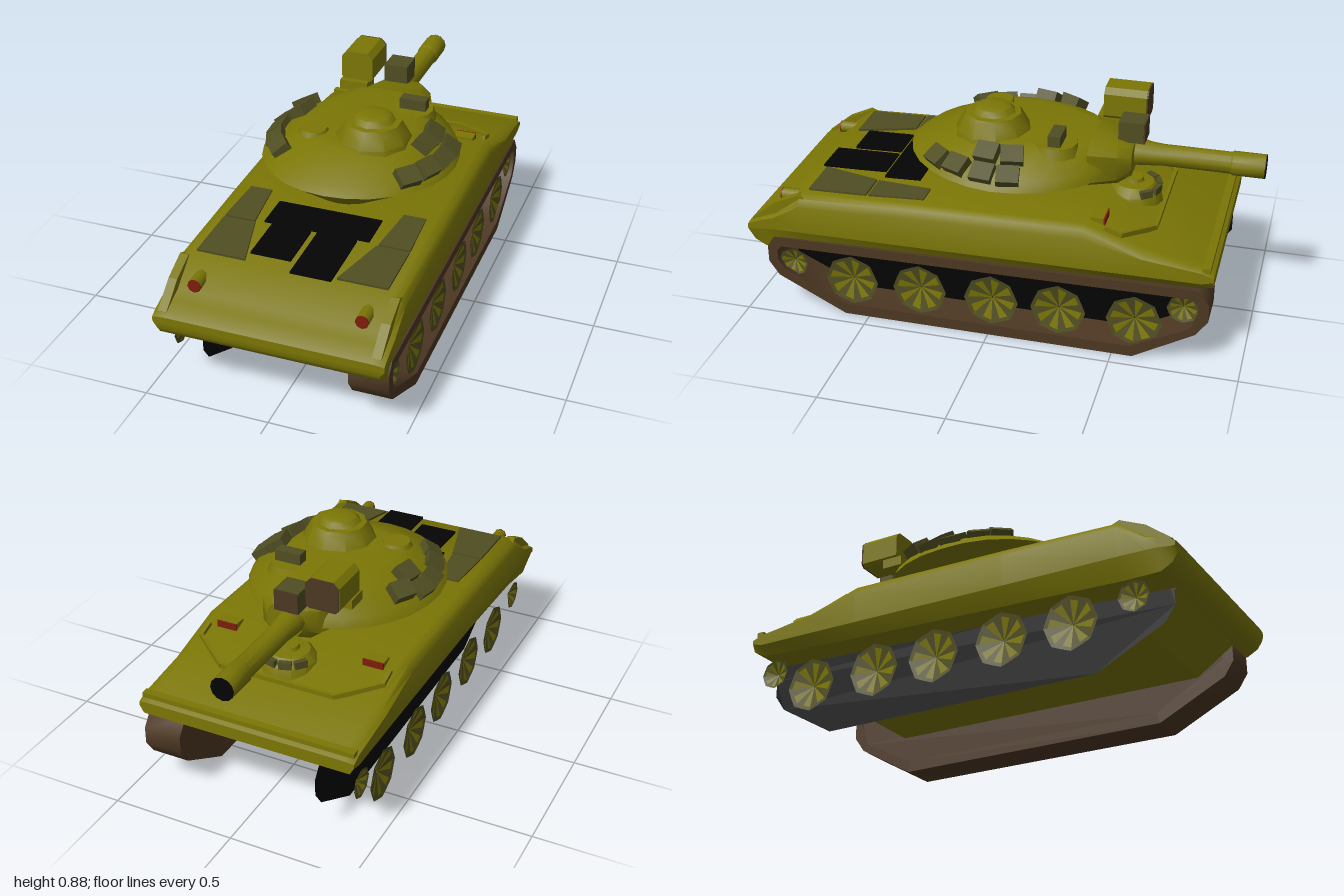
import * as THREE from 'three';
import { toCreasedNormals } from 'three/addons/utils/BufferGeometryUtils.js';

const mat = (name, color) => {
  const m = new THREE.MeshStandardMaterial({ color, side: THREE.DoubleSide });
  m.name = name;
  return m;
};

export function createModel() {
  const olive = mat('olive', 0x7b7605);
  const drab = mat('drab', 0x504e22);
  const brown = mat('trackBrown', 0x4d3823);
  const black = mat('black', 0x040404);
  const red = mat('lampRed', 0x7d1e0c);

  const model = new THREE.Group();
  const add = (name, geo, material, x = 0, y = 0, z = 0, parent = model) => {
    const m = new THREE.Mesh(geo, material);
    m.name = name;
    m.position.set(x, y, z);
    parent.add(m);
    return m;
  };
  const box = (name, w, h, d, material, x, y, z, parent) =>
    add(name, new THREE.BoxGeometry(w, h, d), material, x, y, z, parent);
  const lathe = (pts, sides) =>
    toCreasedNormals(new THREE.LatheGeometry(pts.map(([r, y]) => new THREE.Vector2(r, y)), sides), 0.65);

  // Skin between closed loops of points, with both ends capped
  const loft = (rings, crease) => {
    const pos = [], n = rings[0].length, last = rings.length - 1;
    const tri = (...p) => p.forEach((v) => pos.push(...v));
    for (let i = 0; i < last; i++) {
      for (let j = 0; j < n; j++) {
        const k = (j + 1) % n;
        tri(rings[i][j], rings[i][k], rings[i + 1][k]);
        tri(rings[i][j], rings[i + 1][k], rings[i + 1][j]);
      }
    }
    for (let j = 1; j < n - 1; j++) {
      tri(rings[0][0], rings[0][j + 1], rings[0][j]);
      tri(rings[last][0], rings[last][j], rings[last][j + 1]);
    }
    const g = new THREE.BufferGeometry();
    g.setAttribute('position', new THREE.Float32BufferAttribute(pos, 3));
    return toCreasedNormals(g, crease);
  };

  // Side outline [z, y] extruded from x0 to x1
  const outline = (pts) => pts.map(([z, y]) => new THREE.Vector2(-z, y));
  const sideExtrude = (pts, x0, x1, hole) => {
    const s = new THREE.Shape(outline(pts));
    if (hole) s.holes.push(new THREE.Path(outline(hole)));
    return new THREE.ExtrudeGeometry(s, { depth: x1 - x0, bevelEnabled: false })
      .rotateY(Math.PI / 2).translate(x0, 0, 0);
  };
  const sideSheet = (pts, x) =>
    new THREE.ShapeGeometry(new THREE.Shape(outline(pts))).rotateY(Math.PI / 2).translate(x, 0, 0);

  // Upper hull and its tucked-in sponson: z, top, side crease, bottom, bottom half width
  const stations = [
    [-0.875, 0.405, 0.385, 0.355, 0.43], [-0.83, 0.432, 0.372, 0.335, 0.415], [-0.6, 0.468, 0.37, 0.325, 0.41],
    [-0.37, 0.54, 0.367, 0.315, 0.41], [0.3, 0.528, 0.36, 0.292, 0.41], [0.77, 0.512, 0.356, 0.272, 0.415],
    [0.88, 0.425, 0.354, 0.267, 0.425], [0.93, 0.405, 0.352, 0.265, 0.43],
    [0.975, 0.385, 0.345, 0.29, 0.43], [0.995, 0.37, 0.345, 0.32, 0.43],
  ];
  const mirrored = (half, z) =>
    [...half, ...half.slice().reverse().map(([x, y]) => [-x, y])].map(([x, y]) => [x, y, z]);
  add('upperHull', loft(stations.map(([z, t, c]) => {
    const h = t - c;
    return mirrored([[0.447, c], [0.447, t - 0.25 * h], [0.43, t - 0.08 * h], [0.4, t]], z);
  }), 0.75), olive);
  add('sponson', loft(stations.map(([z, , c, b, w]) => mirrored([[w, b], [0.447, c]], z)), 0.75), olive);
  add('lowerHull', sideExtrude([[0.93, 0.268], [0.77, 0.158], [-0.6, 0.158], [-0.85, 0.36], [0.8, 0.36]],
    -0.285, 0.285), olive);

  // Front lip and splash rail on the sloping bow
  const bowY = (z) => (z > -0.6 ? 0.54 + 0.313 * (z + 0.37) : 0.468 + 0.156 * (z + 0.6));
  box('bowLip', 0.88, 0.02, 0.03, olive, 0, 0.425, -0.845);
  const rail = [[-0.39, -0.45], [-0.39, -0.51], [-0.24, -0.62], [0.24, -0.62], [0.39, -0.51], [0.39, -0.45]]
    .map(([x, z]) => new THREE.Vector3(x, bowY(z) + 0.006, z));
  for (let i = 0; i < rail.length - 1; i++) {
    const m = box('splashRail', 0.014, 0.022, rail[i].distanceTo(rail[i + 1]) + 0.01, olive);
    m.position.lerpVectors(rail[i], rail[i + 1], 0.5);
    m.lookAt(rail[i + 1]);
  }

  // Driver's hatch with periscopes
  add('driverHatch', lathe([[0.12, 0.46], [0.11, 0.51], [0.08, 0.542], [0.04, 0.546], [0.035, 0.56], [0, 0.56]], 12),
    olive, 0.01, 0, -0.49);
  for (const a of [-0.9, -0.3, 0.3, 0.9]) {
    const p = box('driverPeriscope', 0.05, 0.03, 0.02, drab, 0.01 + 0.1 * Math.sin(a), 0.526, -0.49 - 0.1 * Math.cos(a));
    p.rotation.y = -a;
  }

  // Deck plates lying on the slightly sloping engine deck
  const deckPlate = (name, pts, material) => {
    const g = new THREE.ExtrudeGeometry(new THREE.Shape(pts.map(([x, z]) => new THREE.Vector2(x, -z))),
      { depth: 0.009, bevelEnabled: false }).rotateX(-Math.PI / 2 + 0.024);
    add(name, g, material, 0, 0.532, 0);
  };
  const rect = (x0, x1, z0, z1) => [[x0, z0], [x0, z1], [x1, z1], [x1, z0]];
  deckPlate('frontGrille', rect(-0.215, 0.21, 0.34, 0.49), black);
  deckPlate('rightGrille', rect(-0.18, -0.02, 0.5, 0.7), black);
  deckPlate('leftGrille', rect(0.005, 0.165, 0.5, 0.77), black);
  for (const s of [-1, 1]) {
    deckPlate('sidePanel', [[0.365, 0.275], [0.275, 0.275], [0.25, 0.5], [0.375, 0.5]].map(([x, z]) => [s * x, z]), drab);
    deckPlate('sidePanel', [[0.375, 0.51], [0.245, 0.51], [0.18, 0.75], [0.375, 0.75]].map(([x, z]) => [s * x, z]), drab);

    // Rear fender ribs, tail lamps and front lamps
    const x0 = s > 0 ? 0.395 : -0.43;
    add('fenderRib', sideExtrude([[0.75, 0.5], [0.78, 0.512], [0.88, 0.466], [0.98, 0.385], [0.95, 0.36]], x0, x0 + 0.035), olive);
    const lamp = add('tailLampHousing', new THREE.CylinderGeometry(0.027, 0.027, 0.08, 8), olive, s * 0.325, 0.455, 0.842);
    lamp.rotation.x = Math.PI / 2;
    const lens = add('tailLamp', new THREE.CylinderGeometry(0.0265, 0.0265, 0.006, 8), red, s * 0.325, 0.455, 0.885);
    lens.rotation.x = Math.PI / 2;
    box('headLampBox', 0.085, 0.036, 0.05, olive, s * 0.315, 0.527, -0.412);
    box('headLamp', 0.085, 0.036, 0.006, red, s * 0.315, 0.527, -0.44);
  }

  // Running gear: tread loop on the left, backing sheets and wheels on both sides
  const tread = [[0.89, 0.315], [0.92, 0.27], [0.92, 0.2], [0.88, 0.14], [0.6, 0], [-0.58, 0],
    [-0.82, 0.14], [-0.865, 0.205], [-0.865, 0.275], [-0.82, 0.335]];
  const inner = [[0.86, 0.275], [0.88, 0.255], [0.88, 0.215], [0.855, 0.17], [0.59, 0.045], [-0.57, 0.045],
    [-0.8, 0.165], [-0.825, 0.215], [-0.825, 0.265], [-0.8, 0.295]];
  add('track', toCreasedNormals(sideExtrude(tread, 0.285, 0.44, inner), 0.95), brown);
  add('trackInnerWall', sideSheet(inner, 0.286), brown);
  add('wheelWell', sideSheet(inner, 0.292), black);
  add('wheelWell', sideSheet(tread, -0.287), black);

  // Dished eight-sided wheels: alternating wedges inside a plain rim
  const wheel = (s, z, y, r) => {
    const g = new THREE.RingGeometry(0.002, r, 16, 2).toNonIndexed();
    const p = g.attributes.position;
    g.clearGroups();
    for (let i = 0; i < 16; i++) g.addGroup(i * 6, 6, i % 2);
    g.addGroup(96, 96, 0);
    for (let i = 0; i < p.count; i++) {
      const a = Math.atan2(p.getY(i), p.getX(i)), d = Math.hypot(p.getX(i), p.getY(i)) / r;
      const flat = Math.round(a / (Math.PI / 8)) % 2 ? 0.935 : 1;
      const reach = d > 0.9 ? 1 : d > 0.3 ? 0.86 : d;
      p.setXYZ(i, Math.cos(a) * r * reach * flat, Math.sin(a) * r * reach * flat, 0.025 * (reach - 1));
    }
    g.computeVertexNormals();
    add('roadWheel', g, [drab, olive], s * 0.425, y, z).rotation.y = s * Math.PI / 2;
  };
  for (const s of [-1, 1]) {
    for (const z of [0.57, 0.285, -0.01, -0.28, -0.58]) wheel(s, z, 0.153, 0.11);
    wheel(s, 0.82, 0.2, 0.062);
    wheel(s, -0.765, 0.238, 0.062);
  }

  // Turret: level, half width, rear reach, front reach, lift of the rear rim
  const levels = [[0.525, 0.19, 0.27, 0.29, 0], [0.62, 0.395, 0.42, 0.44, 0.022],
    [0.658, 0.37, 0.385, 0.43, 0.01], [0.738, 0.235, 0.22, 0.37, 0], [0.745, 0.2, 0.18, 0.3, 0]];
  add('turret', loft(levels.map(([y, w, rear, front, lift]) =>
    Array.from({ length: 28 }, (_, i) => {
      const a = i / 28 * Math.PI * 2, c = Math.cos(a);
      return [w * Math.sin(a), y + lift * Math.max(0, c), c * (c > 0 ? rear : front)];
    })), 0.65), olive);

  // Cupola and hatch
  add('cupola', lathe([[0.155, 0.72], [0.15, 0.745], [0.12, 0.797], [0.112, 0.81], [0.088, 0.812],
    [0.07, 0.833], [0.045, 0.84], [0, 0.84]], 10), olive, 0.077, 0, 0.07);
  add('loaderHatch', new THREE.CylinderGeometry(0.055, 0.065, 0.02, 10), olive, -0.16, 0.746, 0.11);

  // Gunner's sight with its raised base
  add('sightBase', new THREE.CylinderGeometry(0.085, 0.1, 0.04, 12), olive, 0.15, 0.725, -0.2);
  box('sight', 0.11, 0.055, 0.05, drab, 0.155, 0.762, -0.205);

  // Mantlet and gun
  add('mantlet', loft([[-0.49, 0.075, 0.6, 0.715], [-0.44, 0.12, 0.575, 0.73], [-0.33, 0.16, 0.565, 0.745]]
    .map(([z, w, b, t]) => [[w, b + 0.03], [w, t - 0.03], [w * 0.7, t], [-w * 0.7, t], [-w, t - 0.03], [-w, b + 0.03], [-w * 0.7, b], [w * 0.7, b]]
      .map(([x, y]) => [x + 0.03, y, z])), 0.8), olive);
  const gun = add('gunBarrel', lathe([[0.055, 0.44], [0.05, 0.52], [0.043, 0.6], [0.043, 0.865], [0.048, 0.872],
    [0.048, 0.997], [0, 0.997]], 12), olive, 0, 0.663, 0);
  gun.rotation.x = -Math.PI / 2;
  const bore = add('muzzleFace', new THREE.CylinderGeometry(0.047, 0.047, 0.004, 12), black, 0, 0.663, -0.998);
  bore.rotation.x = Math.PI / 2;

  // Searchlight with clipped top corners, and the sight box beside it
  const clipped = new THREE.Shape([[-0.068, -0.05], [-0.055, -0.063], [0.055, -0.063], [0.068, -0.05],
    [0.068, 0.04], [0.045, 0.063], [-0.045, 0.063], [-0.068, 0.04]].map(([x, y]) => new THREE.Vector2(x, y)));
  add('searchlight', new THREE.ExtrudeGeometry(clipped, { depth: 0.17, bevelEnabled: false }), olive, -0.142, 0.82, -0.51);
  add('searchlightFace', new THREE.ExtrudeGeometry(clipped, { depth: 0.005, bevelEnabled: false }), brown, -0.142, 0.82, -0.516);
  box('searchlightMount', 0.12, 0.04, 0.09, olive, -0.15, 0.74, -0.36);
  box('gunSight', 0.1, 0.085, 0.1, drab, 0, 0.765, -0.475);
  box('gunSightFace', 0.1, 0.085, 0.005, brown, 0, 0.765, -0.528);

  // Stowage boxes leaning on the turret's flanks: x, y, z
  const stowage = [
    [0.352, 0.672, -0.06], [0.35, 0.672, 0.04], [0.322, 0.68, 0.15], [0.275, 0.682, 0.24],
    [0.285, 0.727, -0.06], [0.28, 0.727, 0.04],
    [-0.345, 0.675, -0.07], [-0.345, 0.672, 0.025], [-0.315, 0.682, 0.125], [-0.27, 0.69, 0.2],
    [-0.305, 0.705, -0.17], [-0.28, 0.727, -0.07],
  ];
  for (const [x, y, z] of stowage) {
    const holder = new THREE.Group();
    holder.name = 'stowage';
    holder.position.set(x, y, z);
    holder.rotation.y = Math.atan2(x, z);
    model.add(holder);
    box('stowageBox', 0.088, 0.045, 0.075, drab, 0, 0, 0, holder).rotation.x = 0.6;
  }
  return model;
}
